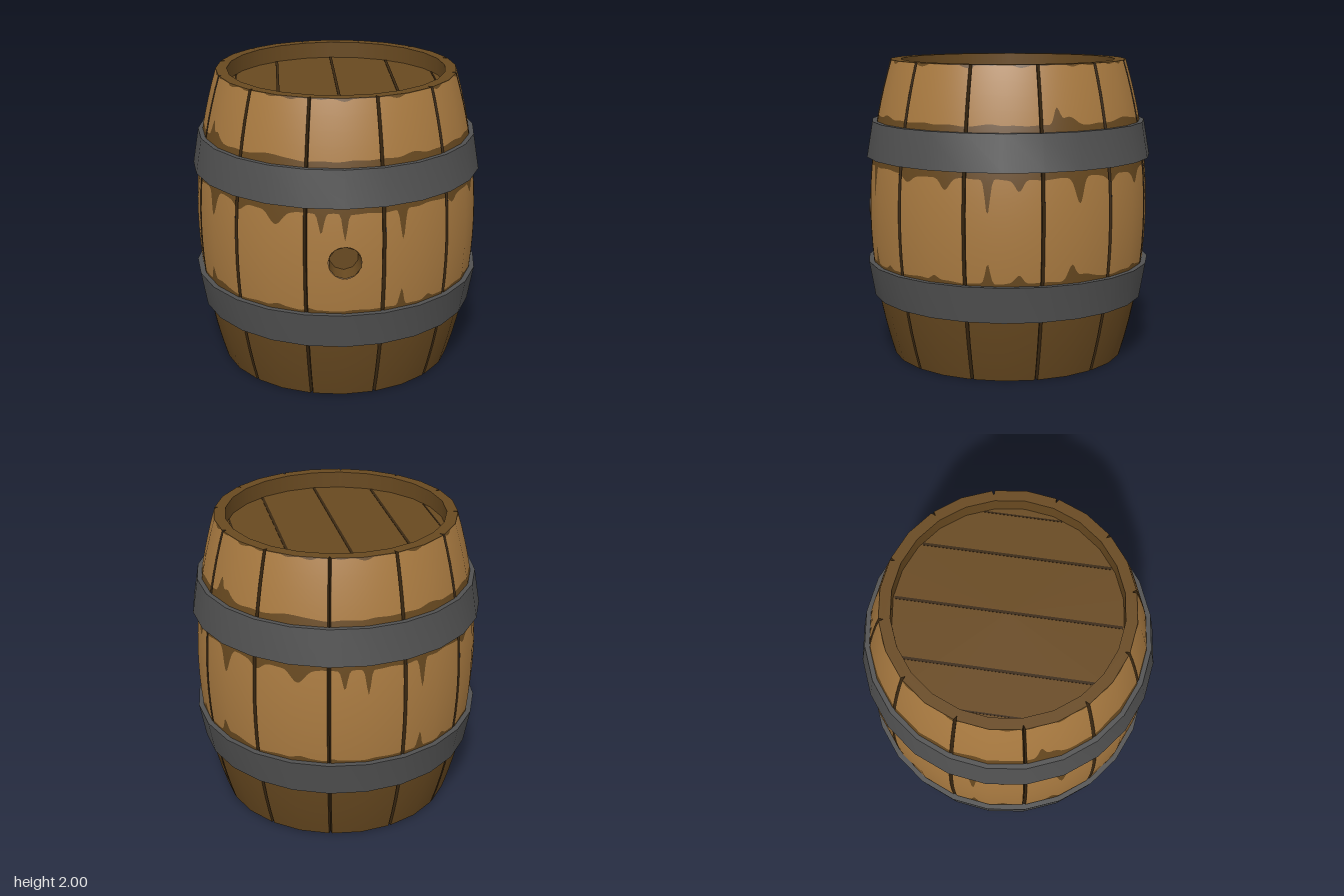
import * as THREE from 'three';
import { toCreasedNormals, mergeGeometries } from 'three/addons/utils/BufferGeometryUtils.js';

const DEG = Math.PI / 180;
const STAVES = 12, SIDES = 24, GAP = 0.7; // gap: half width of a seam, in degrees
const RIM = 0.718, INSET = 0.11;

// Barrel bulge, with a 24-sided cross-section
const bulge = y => 0.945 - 0.155 * (y - 1) ** 2;
function wallPoint(deg, y, inset = 0) {
  const local = (((deg % 15) + 15) % 15) - 7.5;
  const r = bulge(y) * Math.cos(7.5 * DEG) / Math.cos(local * DEG) - inset;
  return [r * Math.sin(deg * DEG), y, r * Math.cos(deg * DEG)];
}

// Stains: [angle, half width, length], repeating every half turn
const upperDrips = [[0, 1.1, 0.17], [23, 1.3, 0.2], [49, 3, 0.05], [67, 2.5, 0.07], [84, 1.3, 0.22],
  [96, 2, 0.07], [120, 2.3, 0.16], [136, 3, 0.05], [153, 3.5, 0.09], [171, 1.3, 0.13]];
const lowerDrips = [[23, 1.2, 0.12], [36, 2, 0.03], [62, 2, 0.03], [84, 1.3, 0.13], [96, 2, 0.05],
  [117, 2, 0.09], [123, 6, 0.04], [153, 3, 0.02], [166, 2, 0.02]];
const topStains = [[112, 1.8, 0.1], [117, 4, 0.05], [30, 5, 0.02], [150, 5, 0.02], [85, 4, 0.015]];
function drip(list, deg) {
  let sum = 0;
  for (const [a, w, len] of list) {
    const d = ((((deg - a + 90) % 180) + 180) % 180) - 90;
    sum += len * Math.exp(-((d / w) ** 2));
  }
  return sum + 0.006 * Math.sin(deg * 18 * DEG) * Math.cos(deg * 10 * DEG);
}
const underUpperHoop = deg => 1.315 - drip(upperDrips, deg);
const overLowerHoop = deg => 0.668 + drip(lowerDrips, deg);
const overUpperHoop = deg => 1.635 + drip(topStains, deg);
const topChips = deg => 1.995 - 0.016 * Math.max(0, Math.sin(deg * 8 * DEG + 1) * Math.cos(deg * 22 * DEG));

// Half height of the round bung hole at a given angle
const HOLE = 0.105;
function holeHalf(deg) {
  if (Math.cos(deg * DEG) < 0) return 0;
  const x = wallPoint(deg, 1)[0];
  return Math.sqrt(Math.max(0, HOLE * HOLE - x * x));
}

// A strip of the wall between two height functions, over one stave
function band(from, to, low, high, rows) {
  const cols = 40, pos = [], nor = [], idx = [];
  for (let i = 0; i <= cols; i++) {
    const deg = from + (to - from) * i / cols;
    const a = low(deg), b = high(deg);
    for (let j = 0; j <= rows; j++) {
      const y = a + (b - a) * j / rows;
      pos.push(...wallPoint(deg, y));
      const n = new THREE.Vector3(Math.sin(deg * DEG), 0.31 * (y - 1), Math.cos(deg * DEG)).normalize();
      nor.push(n.x, n.y, n.z);
      if (i < cols && j < rows) {
        const p = i * (rows + 1) + j, q = p + rows + 1;
        idx.push(p, q, q + 1, p, q + 1, p + 1);
      }
    }
  }
  const g = new THREE.BufferGeometry();
  g.setAttribute('position', new THREE.Float32BufferAttribute(pos, 3));
  g.setAttribute('normal', new THREE.Float32BufferAttribute(nor, 3));
  g.setIndex(idx);
  return g;
}

// V-shaped groove between two staves
function groove(deg) {
  const rows = 16, pos = [];
  const strip = (a, ia, b, ib) => {
    for (let j = 0; j < rows; j++) {
      const y0 = 2 * j / rows, y1 = 2 * (j + 1) / rows;
      const p = wallPoint(a, y0, ia), q = wallPoint(b, y0, ib);
      const r = wallPoint(b, y1, ib), s = wallPoint(a, y1, ia);
      pos.push(...p, ...q, ...r, ...p, ...r, ...s);
    }
  };
  strip(deg - GAP, 0, deg, 0.03);
  strip(deg, 0.03, deg + GAP, 0);
  const g = new THREE.BufferGeometry();
  g.setAttribute('position', new THREE.Float32BufferAttribute(pos, 3));
  g.computeVertexNormals();
  return g;
}

// Flat stave ends, notched at every seam
function rimGeometry() {
  const pts = [];
  const add = (deg, inset) => {
    const [x, , z] = wallPoint(deg, 2, inset);
    pts.push(new THREE.Vector2(x, z));
  };
  for (let k = 0; k < STAVES; k++) {
    const c = 15 + 30 * k;
    add(c - GAP, 0); add(c, 0.03); add(c + GAP, 0); add(c + 15, 0);
  }
  const shape = new THREE.Shape(pts);
  const hole = [];
  for (let i = 0; i < SIDES; i++) {
    const a = i * 15 * DEG;
    hole.push(new THREE.Vector2(RIM * Math.sin(a), RIM * Math.cos(a)));
  }
  shape.holes.push(new THREE.Path(hole));
  return new THREE.ShapeGeometry(shape).rotateX(-Math.PI / 2);
}

export function createModel() {
  const mat = (name, color, side = THREE.FrontSide) =>
    Object.assign(new THREE.MeshStandardMaterial({ color, side }), { name });
  const lightWood = mat('light wood', 0xaa7b41);
  const darkWood = mat('dark wood', 0x684920, THREE.DoubleSide);
  const seamWood = mat('seam brown', 0x3a2812, THREE.DoubleSide);
  const iron = mat('iron grey', 0x515151);

  const model = new THREE.Group();
  model.name = 'barrel';
  const mesh = (name, geo, material, parent = model) => {
    const m = new THREE.Mesh(geo, material);
    m.name = name;
    parent.add(m);
    return m;
  };

  // Staves, stained around the hoops, and the grooves between them
  const at = y => () => y;
  for (let k = 0; k < STAVES; k++) {
    const a = 30 * k - 15 + GAP, b = 30 * k + 15 - GAP;
    const stave = new THREE.Group();
    stave.name = 'stave';
    model.add(stave);
    mesh('staveLight', mergeGeometries([
      band(a, b, overLowerHoop, d => 1 - holeHalf(d), 3),
      band(a, b, d => 1 + holeHalf(d), underUpperHoop, 3),
      band(a, b, overUpperHoop, topChips, 4),
    ]), lightWood, stave);
    mesh('staveStain', mergeGeometries([
      band(a, b, at(0), at(0.5), 4),
      band(a, b, at(0.5), overLowerHoop, 2),
      band(a, b, underUpperHoop, at(1.5), 2),
      band(a, b, at(1.5), overUpperHoop, 2),
      band(a, b, topChips, at(2), 1),
    ]), darkWood, stave);
    mesh('staveSeam', groove(30 * k + 15), seamWood, stave);
  }

  // Bung hole
  mesh('bungHoleWall', new THREE.CylinderGeometry(HOLE, HOLE * 0.9, 0.12, 10, 1, true)
    .rotateX(Math.PI / 2).translate(0, 1, 0.88), darkWood);
  mesh('bungHoleEnd', new THREE.CircleGeometry(HOLE, 10).translate(0, 1, 0.82), darkWood);

  // Rim, inner wall and planked lid at each end
  for (const top of [true, false]) {
    const end = new THREE.Group();
    end.name = top ? 'topEnd' : 'bottomEnd';
    mesh('rim', rimGeometry().translate(0, 1, 0), darkWood, end);
    mesh('rimWall', new THREE.CylinderGeometry(RIM, RIM, INSET, SIDES, 1, true)
      .translate(0, 1 - INSET / 2, 0), darkWood, end);
    mesh('lid', new THREE.CircleGeometry(RIM, SIDES).rotateX(-Math.PI / 2)
      .translate(0, 1 - INSET, 0), darkWood, end);
    for (const x of [-0.665, -0.385, 0, 0.385, 0.665]) {
      const length = 2 * Math.sqrt(0.71 ** 2 - x * x);
      const width = Math.abs(x) > 0.6 ? 0.01 : 0.018;
      mesh('lidSeam', new THREE.BoxGeometry(width, 0.006, length)
        .translate(x, 1 - INSET, 0), seamWood, end);
    }
    if (!top) end.rotation.z = Math.PI;
    end.position.y = 1;
    model.add(end);
  }

  // Iron hoops, wider towards the middle of the barrel
  const section = [[0.96, 1.36], [0.92, 1.595], [0.885, 1.595], [0.918, 1.36], [0.96, 1.36]];
  const hoop = pts => toCreasedNormals(
    new THREE.LatheGeometry(pts.map(([r, y]) => new THREE.Vector2(r, y)), SIDES), 0.5);
  mesh('upperHoop', hoop(section), iron);
  mesh('lowerHoop', hoop(section.map(([r, y]) => [r, 2.01 - y]).reverse()), iron);

  return model;
}
